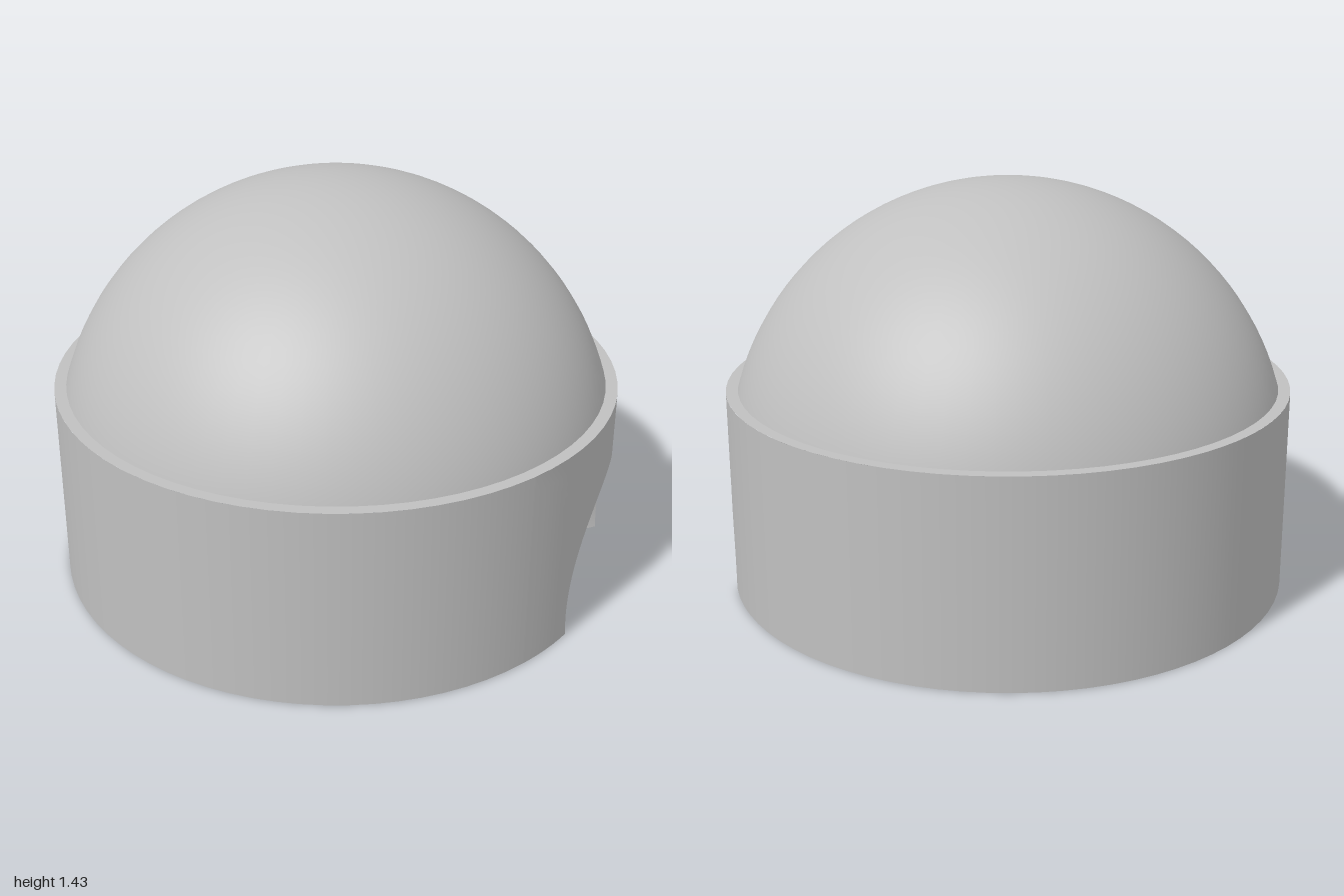
import * as THREE from 'three';
import { toCreasedNormals } from 'three/addons/utils/BufferGeometryUtils.js';

const HEIGHT = 0.72;          // drum height
const DOME_Y = 0.435;         // centre of the unit sphere forming the dome
const FRAME = 0.6;            // half angle of the wall patch around the recess
const V = (x, y, z) => new THREE.Vector3(x, y, z);

// Conical recess: points outward along local +x, tilted down
const TILT = THREE.MathUtils.degToRad(17);
const SLOPE = Math.tan(THREE.MathUtils.degToRad(33));
const apex = V(0.4, 0.32, 0);
const axis = V(Math.cos(TILT), -Math.sin(TILT), 0);

function inRecess(p) {
  const v = p.clone().sub(apex);
  const along = v.dot(axis);
  return along > 0 && v.addScaledVector(axis, -along).length() < along * SLOPE;
}

// Point at angle a, height y and radius r about the drum's axis
const polar = (a, y, r = 1) => V(r * Math.cos(a), y, -r * Math.sin(a));

// Boundary of the recess on a path from an inside end (t = 0) to an outside end (t = 1)
function boundary(path) {
  let lo = 0, hi = 1;
  for (let i = 0; i < 40; i++) {
    const mid = (lo + hi) / 2;
    if (inRecess(path(mid))) lo = mid; else hi = mid;
  }
  return lo;
}

function fromTriangles(points, crease = 0.5) {
  const geometry = new THREE.BufferGeometry().setFromPoints(points);
  return toCreasedNormals(geometry, crease);
}

export function createModel() {
  const model = new THREE.Group();
  model.name = 'domedDrum';
  const grey = new THREE.MeshStandardMaterial({ color: 0xc0c0c0 });
  grey.name = 'grey';

  const body = new THREE.Group();
  body.name = 'drum';
  body.rotation.y = Math.PI / 6;
  model.add(body);
  const add = (parent, name, geometry) => {
    const mesh = new THREE.Mesh(geometry, grey);
    mesh.name = name;
    parent.add(mesh);
    return mesh;
  };

  // Directions fanning over the wall patch, including its two upper corners
  const corner = Math.atan2(HEIGHT, FRAME);
  const directions = [corner, Math.PI - corner];
  for (let i = 0; i <= 48; i++) directions.push(Math.PI * i / 48);
  directions.sort((a, b) => a - b);
  const spokes = directions.map((d) => {
    const c = Math.cos(d), s = Math.max(0, Math.sin(d));
    const reach = Math.min(FRAME / Math.max(Math.abs(c), 1e-9), HEIGHT / Math.max(s, 1e-9));
    const at = (t) => polar(t * reach * c, t * reach * s);
    return { at, edge: boundary(at), angle: reach * c };
  });

  // Wall patch between the recess edge and its frame
  const patch = [];
  const rings = 6;
  for (let i = 0; i < spokes.length - 1; i++) {
    for (let k = 0; k < rings; k++) {
      const point = (s, n) => s.at(s.edge + (1 - s.edge) * n / rings);
      const a = point(spokes[i], k), b = point(spokes[i], k + 1);
      const c = point(spokes[i + 1], k + 1), d = point(spokes[i + 1], k);
      patch.push(a, b, c, a, c, d);
    }
  }
  add(body, 'recessWall', fromTriangles(patch));

  // Rest of the wall
  const wall = new THREE.CylinderGeometry(1, 1, HEIGHT, 64, 1, true,
    Math.PI / 2 + FRAME, 2 * Math.PI - 2 * FRAME);
  add(body, 'wall', wall).position.y = HEIGHT / 2;

  // Notch where the recess breaks through the floor
  const notchAngle = spokes[0].edge * spokes[0].angle;
  const notch = [];
  for (let i = 0; i <= 24; i++) {
    const a = notchAngle * (i / 12 - 1);
    const end = i === 0 || i === 24;
    notch.push(polar(a, 0, end ? 1 : 1 - boundary((t) => polar(a, 0, 1 - t))));
  }

  // Conical inside of the recess
  const rim = [...spokes.map((s) => s.at(s.edge)), ...notch.slice(1)];
  const cone = [];
  for (let i = 0; i < rim.length - 1; i++) cone.push(apex, rim[i], rim[i + 1]);
  add(body, 'conicalRecess', fromTriangles(cone));

  // Flat floor with the notch left out
  const outline = [...notch];
  for (let i = 1; i <= 64; i++) {
    outline.push(polar(notchAngle + (2 * Math.PI - 2 * notchAngle) * i / 64, 0));
  }
  const floor = [];
  for (let i = 0; i < outline.length - 1; i++) floor.push(V(0, 0, 0), outline[i + 1], outline[i]);
  add(body, 'floor', fromTriangles(floor));

  // Narrow ledge around the dome
  const domeAngle = Math.acos(HEIGHT - DOME_Y);
  const ledge = new THREE.RingGeometry(Math.sin(domeAngle), 1, 72).rotateX(-Math.PI / 2);
  add(model, 'ledge', ledge).position.y = HEIGHT;

  // Dome
  const dome = new THREE.SphereGeometry(1, 72, 24, 0, 2 * Math.PI, 0, domeAngle);
  add(model, 'dome', dome).position.y = DOME_Y;

  return model;
}
